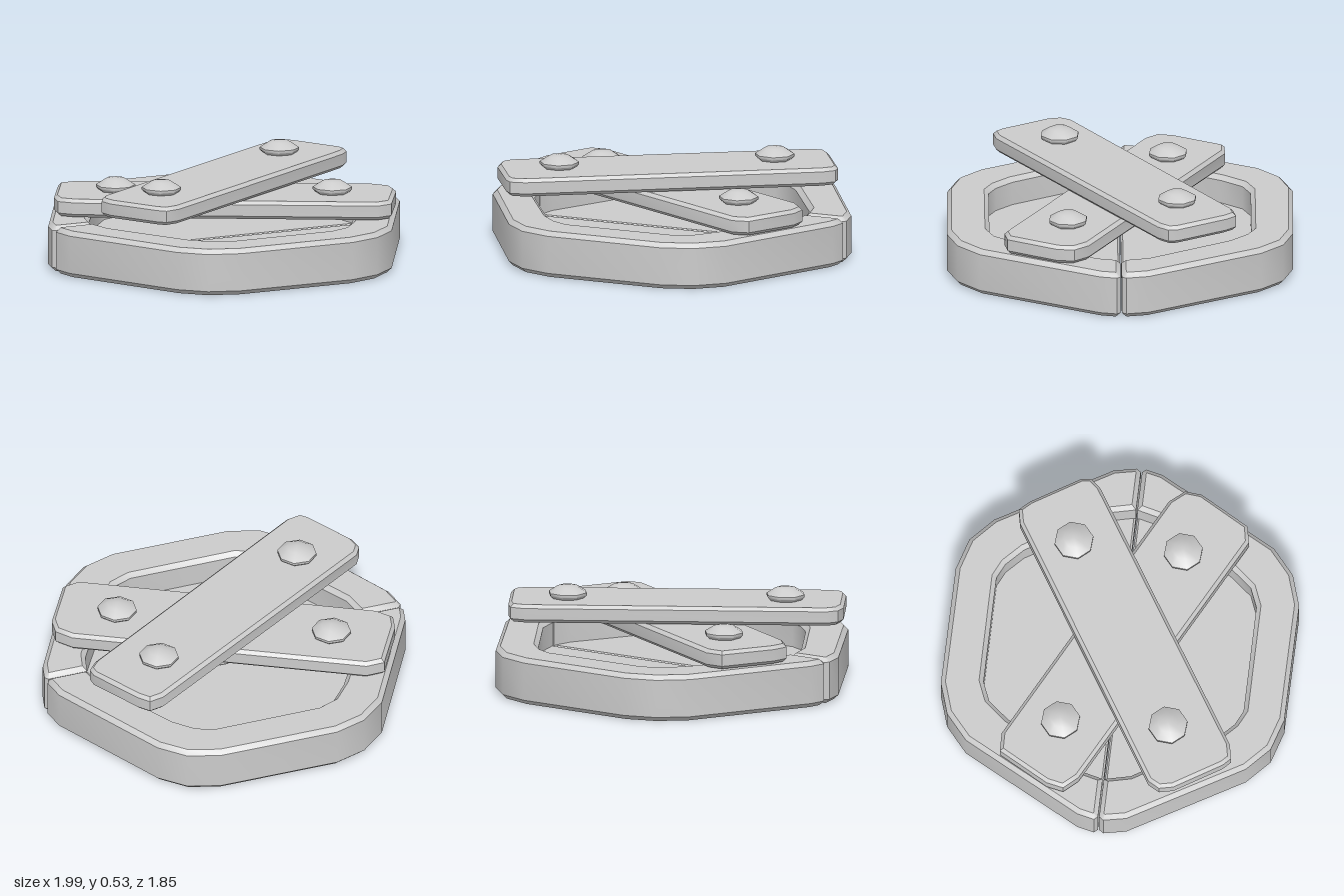
import * as THREE from 'three';
import { toCreasedNormals } from 'three/addons/utils/BufferGeometryUtils.js';

const material = new THREE.MeshStandardMaterial({ color: 0xcccccc });

// Bevelled slab from a plan outline of [x, z] points, between two heights
function slab(name, points, bottom, top, bevel) {
  const shape = new THREE.Shape(points.map(([x, z]) => new THREE.Vector2(x, z)));
  const geometry = new THREE.ExtrudeGeometry(shape, {
    depth: top - bottom - 2 * bevel,
    bevelEnabled: bevel > 0,
    bevelSize: bevel,
    bevelThickness: bevel,
    bevelOffset: -bevel,
    bevelSegments: 1,
  });
  geometry.rotateX(Math.PI / 2);
  geometry.translate(0, top - bevel, 0);
  const mesh = new THREE.Mesh(toCreasedNormals(geometry, 0.7), material);
  mesh.name = name;
  return mesh;
}

// Eight-sided domed bolt head
function bolt(x, y, z) {
  const profile = [[0, 0], [0.085, 0], [0.105, 0.018], [0.105, 0.032], [0.055, 0.064], [0, 0.073]]
    .map(([r, h]) => new THREE.Vector2(r, h));
  const geometry = toCreasedNormals(new THREE.LatheGeometry(profile, 8), 0.8);
  const mesh = new THREE.Mesh(geometry, material);
  mesh.name = 'bolt';
  mesh.position.set(x, y, z);
  mesh.rotation.y = 0.3;
  return mesh;
}

// One half of the hexagonal frame: raised rim with a sunken floor
function frameHalf(name) {
  const half = new THREE.Group();
  half.name = name;
  const outer = [
    [-0.98, -0.021], [-0.997, -0.04], [-0.975, -0.13], [-0.62, -0.76], [-0.48, -0.875], [-0.31, -0.925],
    [0.34, -0.91], [0.51, -0.855], [0.635, -0.735], [0.975, -0.13], [0.997, -0.01], [0.98, 0.014],
  ];
  const inner = [
    [0.765, 0.01], [0.735, -0.13], [0.48, -0.56], [0.39, -0.65], [0.31, -0.69],
    [-0.28, -0.70], [-0.385, -0.66], [-0.48, -0.55], [-0.735, -0.13], [-0.765, -0.017],
  ];
  half.add(slab('rim', [...outer, ...inner], 0, 0.25, 0.024));
  // Floor runs a little way into the rim
  const floor = inner.map(([x, z], i) =>
    i === 0 || i === inner.length - 1 ? [x * 1.08, z] : [x * 1.08, z * 1.08]);
  half.add(slab('floor', floor, 0, 0.1, 0.012));
  return half;
}

export function createModel() {
  const model = new THREE.Group();
  model.name = 'boardedFrame';

  // Two matching halves meeting along a narrow seam
  const back = frameHalf('backHalf');
  const front = frameHalf('frontHalf');
  front.rotation.y = Math.PI;
  back.position.z = front.position.z = -0.003;
  model.add(back, front);

  // Crossed planks
  model.add(slab('lowerPlank', [
    [-0.70, -0.575], [-0.60, -0.575], [0.79, 0.18], [0.855, 0.26], [0.845, 0.35],
    [0.69, 0.61], [0.60, 0.625], [-0.81, -0.145], [-0.875, -0.22], [-0.855, -0.31],
  ], 0.255, 0.353, 0.018));
  model.add(slab('upperPlank', [
    [0.55, -0.59], [0.63, -0.605], [0.68, -0.55], [0.835, -0.29], [0.84, -0.24], [0.79, -0.185],
    [-0.58, 0.64], [-0.66, 0.655], [-0.70, 0.615], [-0.85, 0.365], [-0.865, 0.29], [-0.83, 0.23],
  ], 0.358, 0.455, 0.018));

  // Bolt heads at the plank ends
  for (const [x, y, z] of [
    [-0.52, 0.453, 0.305], [0.47, 0.453, -0.295],
    [0.5, 0.351, 0.285], [-0.51, 0.351, -0.27],
  ]) model.add(bolt(x, y, z));

  return model;
}
